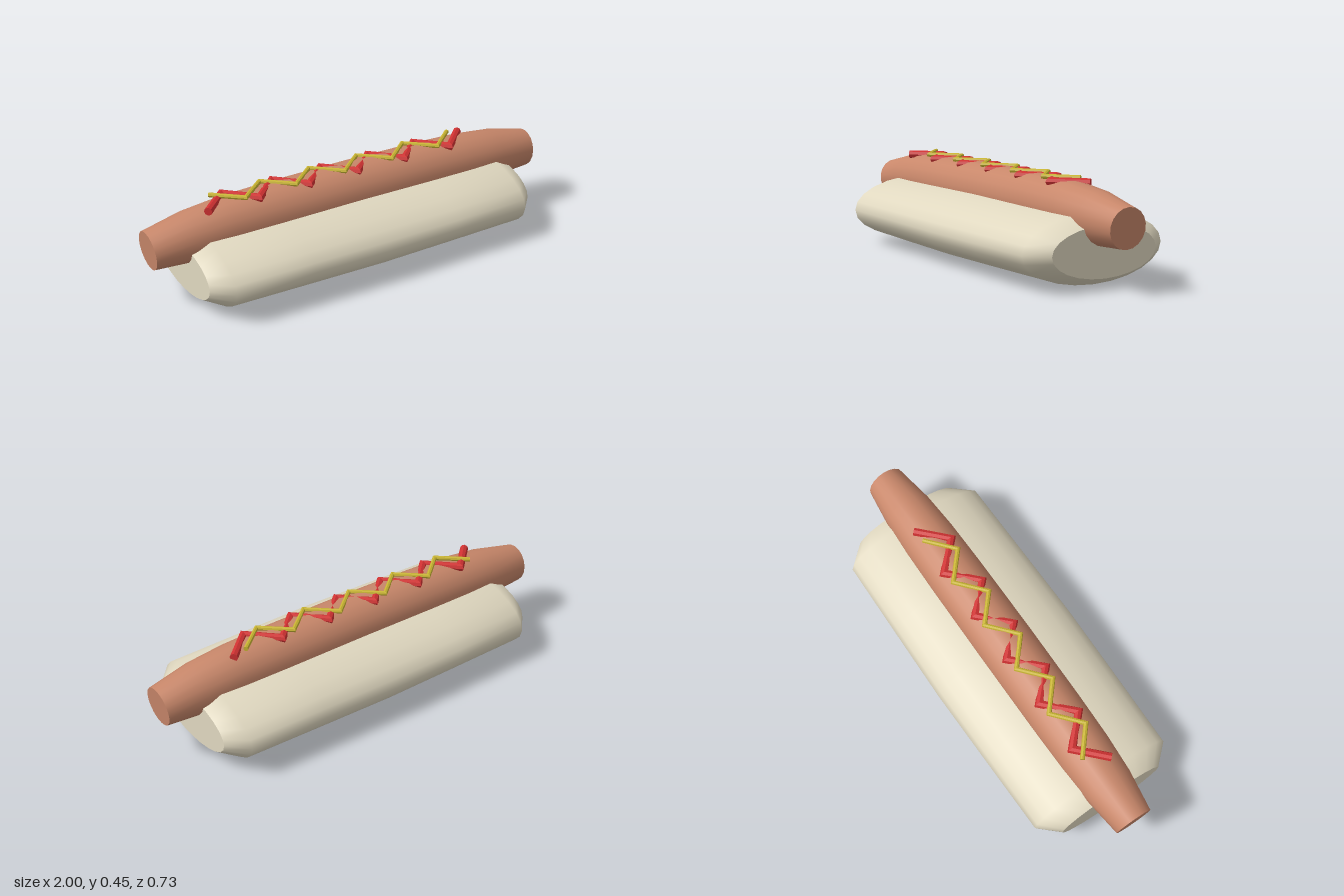
import * as THREE from 'three';

// Loft elliptical rings along x. Each ring: { x, y, z, ry, rz, ly, lz };
// ly and lz lean the ring along x with height and depth.
function loft(rings, sides) {
  const pos = [], index = [];
  const addRing = (r) => {
    const start = pos.length / 3;
    for (let j = 0; j < sides; j++) {
      const a = (j / sides) * Math.PI * 2, c = Math.cos(a), s = Math.sin(a);
      pos.push(r.x + (r.ly || 0) * c + (r.lz || 0) * s, r.y + r.ry * c, (r.z || 0) + r.rz * s);
    }
    return start;
  };
  const starts = rings.map(addRing);
  for (let i = 0; i < rings.length - 1; i++) {
    for (let j = 0; j < sides; j++) {
      const k = (j + 1) % sides, p = starts[i], q = starts[i + 1];
      index.push(p + j, p + k, q + j, q + j, p + k, q + k);
    }
  }
  // flat end caps with their own vertices, so the rim stays sharp
  for (const [ring, last] of [[rings[0], false], [rings[rings.length - 1], true]]) {
    const s = addRing(ring);
    for (let j = 1; j < sides - 1; j++) {
      if (last) index.push(s, s + j, s + j + 1);
      else index.push(s, s + j + 1, s + j);
    }
  }
  const g = new THREE.BufferGeometry();
  g.setAttribute('position', new THREE.Float32BufferAttribute(pos, 3));
  g.setIndex(index);
  g.computeVertexNormals();
  return g;
}

// Complete a half list of rings (middle to right end) with its mirror image
function mirrored(half) {
  const left = half.slice(1).reverse().map((r) => ({ ...r, x: -r.x, ly: -(r.ly || 0) }));
  return [...left, ...half];
}

// Sauce line: a mitred zigzag with square-cut ends
function zigzag(x0, step, count, amp, firstSide, y, r) {
  const angle = Math.atan2(2 * amp, step);
  const rings = [];
  for (let i = 0; i < count; i++) {
    const side = firstSide * (i % 2 ? -1 : 1);
    const ring = { x: x0 + i * step, y, z: side * amp, ry: r, rz: r / Math.cos(angle) };
    if (i === 0 || i === count - 1) {
      const slope = i === 0 ? side : -side;
      ring.rz = r * Math.cos(angle);
      ring.lz = slope * r * Math.sin(angle);
    }
    rings.push(ring);
  }
  return loft(rings, 8);
}

export function createModel() {
  const material = (name, color, flatShading = false) => {
    const m = new THREE.MeshStandardMaterial({ color, flatShading });
    m.name = name;
    return m;
  };
  const bread = material('bread', 0xe0d8c0);
  const meat = material('meat', 0xc8876a);
  const red = material('red sauce', 0xd03232, true);
  const yellow = material('yellow sauce', 0xc8b432, true);

  const model = new THREE.Group();
  model.name = 'hotDog';
  const add = (name, geometry, mat) => {
    const mesh = new THREE.Mesh(geometry, mat);
    mesh.name = name;
    model.add(mesh);
  };

  // wide oval bun with chamfered ends
  add('bun', loft(mirrored([
    { x: 0, y: 0.162, ry: 0.161, rz: 0.366 },
    { x: 0.375, y: 0.162, ry: 0.157, rz: 0.36 },
    { x: 0.752, y: 0.162, ry: 0.152, rz: 0.353 },
    { x: 0.836, y: 0.16, ry: 0.112, rz: 0.262 },
  ]), 24), bread);

  // sausage, arched slightly and tapering to leaning flat ends
  add('sausage', loft(mirrored([
    { x: 0, y: 0.31, ry: 0.131, rz: 0.131 },
    { x: 0.4, y: 0.308, ry: 0.129, rz: 0.129 },
    { x: 0.62, y: 0.304, ry: 0.125, rz: 0.125 },
    { x: 0.8, y: 0.295, ry: 0.115, rz: 0.115, ly: 0.004 },
    { x: 0.992, y: 0.278, ry: 0.089, rz: 0.089, ly: 0.008 },
  ]), 18), meat);

  // sauces zigzagging along the top
  add('ketchup', zigzag(-0.73, 0.125, 12, 0.06, 1, 0.421, 0.019), red);
  add('mustard', zigzag(-0.67, 0.125, 11, 0.054, -1, 0.436, 0.011), yellow);

  return model;
}
